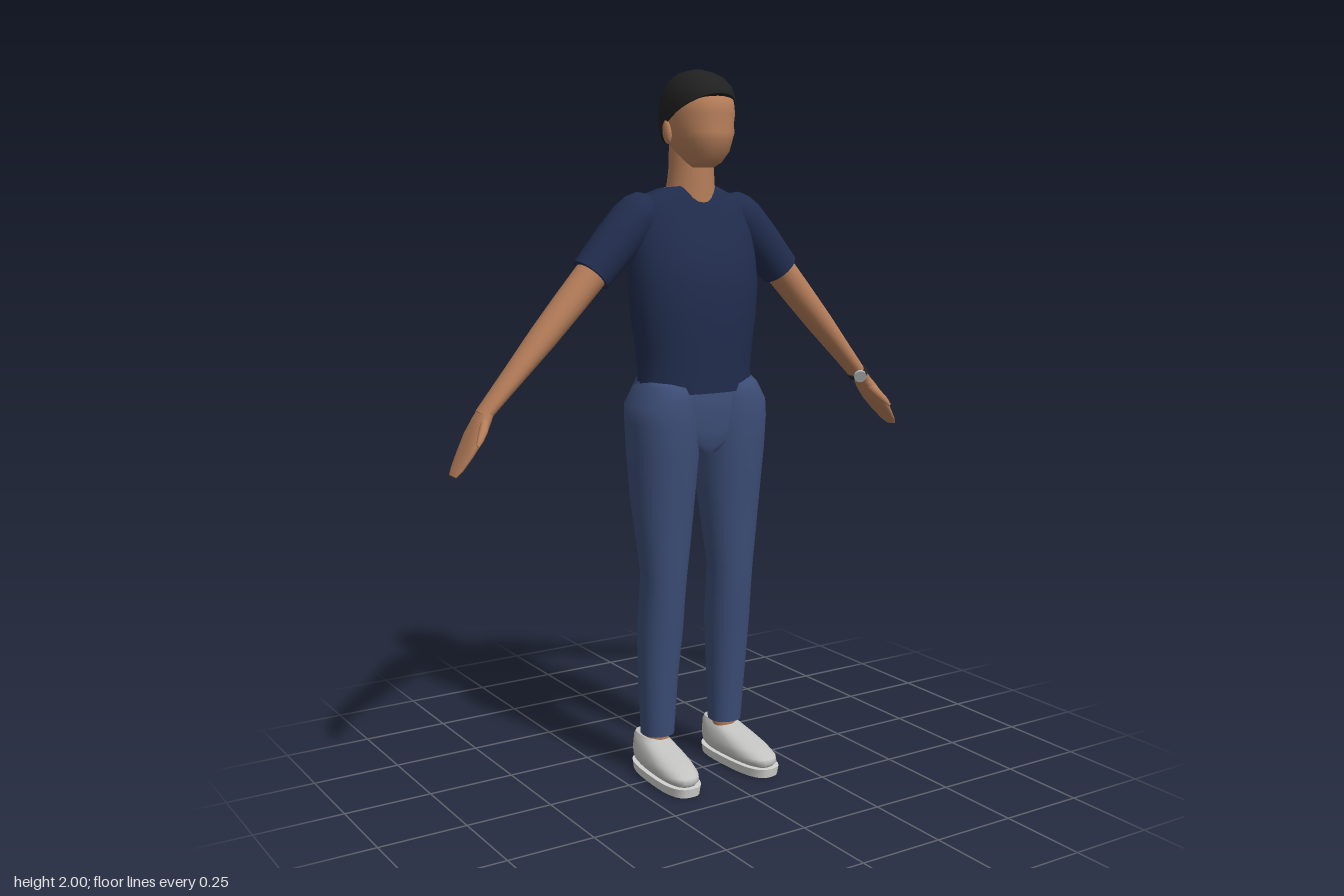
import * as THREE from 'three';

const material = (name, color) => {
  const m = new THREE.MeshStandardMaterial({ color });
  m.name = name;
  return m;
};

// Smooth closed skin over oval rings [y, x0, x1, z0, z1, tiltZ, tiltX], listed upwards.
// n is the roundness of the oval (2 = ellipse), side = -1 mirrors in x.
function loft(rings, { n = 2.2, side = 1, sides = 28 } = {}) {
  const pos = [], index = [];
  const count = rings.length;
  const power = (v) => Math.sign(v) * Math.abs(v) ** (2 / n);
  const addRing = ([y, x0, x1, z0, z1, tiltZ = 0, tiltX = 0]) => {
    for (let j = 0; j < sides; j++) {
      const a = (j / sides) * Math.PI * 2;
      const dx = power(Math.cos(a)) * side * (x1 - x0) / 2;
      const z = (z0 + z1) / 2 + power(Math.sin(a)) * (z1 - z0) / 2;
      pos.push(side * (x0 + x1) / 2 + dx, y + tiltZ * z + tiltX * side * dx, z);
    }
  };
  // the mirrored oval runs the other way round, so its corners swap
  const tri = (a, b, c) => (side > 0 ? index.push(a, b, c) : index.push(a, c, b));
  rings.forEach(addRing);
  for (let i = 0; i < count - 1; i++) {
    for (let j = 0; j < sides; j++) {
      const k = (j + 1) % sides, a = i * sides, b = a + sides;
      tri(a + j, b + j, a + k);
      tri(a + k, b + j, b + k);
    }
  }
  // flat caps with their own corners
  [rings[0], rings[count - 1]].forEach((r, top) => {
    const start = pos.length / 3;
    addRing(r);
    const z = (r[3] + r[4]) / 2;
    pos.push(side * (r[1] + r[2]) / 2, r[0] + (r[5] || 0) * z, z);
    for (let j = 0; j < sides; j++) {
      const p = start + j, q = start + (j + 1) % sides, c = start + sides;
      top ? tri(c, q, p) : tri(c, p, q);
    }
  });
  const g = new THREE.BufferGeometry();
  g.setAttribute('position', new THREE.Float32BufferAttribute(pos, 3));
  g.setIndex(index);
  g.computeVertexNormals();
  return g;
}

// Ring on the centre plane: y, half width, back z, front z
const mid = (y, r, z0, z1, tilt = 0) => [y, -r, r, z0, z1, tilt];
// Ring of a limb: distance along it, half thickness, half width, offsets
const limb = (t, rx, rz, cx = 0, cz = 0) => [t, cx - rx, cx + rx, cz - rz, cz + rz];

export function createModel() {
  const skin = material('skin', 0xb67e5a);
  const hair = material('hair', 0x202020);
  const shirt = material('shirt', 0x212d4e);
  const jeans = material('jeans', 0x3c4d76);
  const shoe = material('shoe', 0xc2c2c0);
  const sole = material('sole', 0xd2d2d0);
  const strap = material('strap', 0x262626);
  const silver = material('silver', 0xb4bab8);

  const model = new THREE.Group();
  model.name = 'standingMan';
  const body = new THREE.Group();
  body.name = 'body';
  body.position.x = -0.01;
  model.add(body);
  const add = (parent, name, geometry, mat) => {
    const mesh = new THREE.Mesh(geometry, mat);
    mesh.name = name;
    parent.add(mesh);
    return mesh;
  };

  // Head, hair and neck
  add(body, 'head', loft([
    mid(1.737, 0.03, -0.01, 0.04), mid(1.75, 0.047, -0.03, 0.068), mid(1.78, 0.068, -0.07, 0.094),
    mid(1.81, 0.08, -0.105, 0.102), mid(1.83, 0.086, -0.115, 0.107), mid(1.855, 0.089, -0.12, 0.1),
    mid(1.88, 0.09, -0.122, 0.106), mid(1.92, 0.088, -0.12, 0.1), mid(1.955, 0.065, -0.095, 0.065),
  ]), skin);
  add(body, 'hair', loft([
    mid(1.872, 0.093, -0.128, 0.106, 0.57), mid(1.9, 0.097, -0.138, 0.104, 0.4),
    mid(1.94, 0.092, -0.132, 0.091, 0.2), mid(1.972, 0.073, -0.108, 0.068, 0.08),
    mid(1.991, 0.045, -0.075, 0.037), mid(2, 0.012, -0.035, 0.0),
  ], { n: 2.1 }), hair);
  add(body, 'neck', loft([
    mid(1.64, 0.075, -0.125, 0.02), mid(1.70, 0.066, -0.114, 0.02),
    mid(1.74, 0.063, -0.108, 0.02), mid(1.82, 0.062, -0.106, 0.02),
  ], { n: 2 }), skin);
  add(body, 'collarSkin', loft([
    mid(1.67, 0.082, -0.136, 0.0, 0.12), mid(1.691, 0.08, -0.134, 0.0, 0.12),
  ], { n: 2 }), skin);

  // Shirt body, open neckline dipping at the front
  add(body, 'shirtBody', loft([
    mid(1.12, 0.178, -0.138, 0.077), mid(1.18, 0.171, -0.14, 0.081), mid(1.25, 0.178, -0.146, 0.086),
    mid(1.33, 0.19, -0.153, 0.09), mid(1.42, 0.197, -0.158, 0.09), mid(1.5, 0.195, -0.16, 0.075),
    mid(1.58, 0.189, -0.158, 0.044), mid(1.63, 0.175, -0.153, 0.025), mid(1.66, 0.147, -0.147, 0.013),
    mid(1.688, 0.09, -0.14, 0.003, 0.1),
  ]), shirt);

  // Seat of the trousers
  add(body, 'trouserSeat', loft([
    mid(0.95, 0.045, -0.11, 0.055), mid(0.975, 0.12, -0.142, 0.066), mid(1.01, 0.17, -0.164, 0.071),
    mid(1.06, 0.19, -0.173, 0.073), mid(1.115, 0.186, -0.165, 0.073), mid(1.165, 0.168, -0.14, 0.06),
  ]), jeans);

  for (const side of [1, -1]) {
    const label = side > 0 ? 'left' : 'right';

    // Ear
    const ear = add(body, label + 'Ear', new THREE.SphereGeometry(1, 14, 10), skin);
    ear.scale.set(0.01, 0.033, 0.018);
    ear.position.set(side * 0.09, 1.832, -0.024);
    ear.rotation.x = -0.2;

    // Trouser leg
    add(body, label + 'TrouserLeg', loft([
      [0.12, 0.069, 0.164, -0.096, 0.0], [0.3, 0.06, 0.174, -0.1, 0.016],
      [0.44, 0.05, 0.179, -0.1, 0.033], [0.52, 0.05, 0.177, -0.09, 0.042],
      [0.6, 0.047, 0.178, -0.08, 0.05], [0.7, 0.035, 0.188, -0.093, 0.058],
      [0.82, 0.022, 0.2, -0.114, 0.068], [0.95, 0.012, 0.209, -0.128, 0.083],
      [1.04, 0.017, 0.213, -0.13, 0.087], [1.1, 0.028, 0.211, -0.13, 0.083, 0, -0.15],
      [1.14, 0.05, 0.18, -0.12, 0.074, 0, -0.0],
      [1.15, 0.07, 0.17, -0.1, 0.05, 0, 0.1],
    ], { side }), jeans);

    // Ankle and shoe
    add(body, label + 'Ankle', loft([limb(0.08, 0.035, 0.037, 0.117, -0.05),
      limb(0.15, 0.035, 0.037, 0.117, -0.05)], { side, n: 2 }), skin);
    const foot = new THREE.Group();
    foot.name = label + 'Shoe';
    foot.position.x = side * 0.126;
    foot.rotation.y = side * 0.06;
    body.add(foot);
    add(foot, 'shoeUpper', loft([
      mid(0.026, 0.045, -0.13, 0.158), mid(0.038, 0.055, -0.138, 0.17), mid(0.052, 0.057, -0.14, 0.164),
      mid(0.068, 0.055, -0.14, 0.125), mid(0.085, 0.049, -0.139, 0.065), mid(0.1, 0.043, -0.137, 0.0),
      mid(0.111, 0.036, -0.133, -0.02),
    ], { n: 2.6 }), shoe);
    add(foot, 'shoeSole', loft([
      mid(0, 0.055, -0.137, 0.17), mid(0.026, 0.059, -0.14, 0.174),
    ], { n: 2.8 }), sole);

    // Arm: local y runs from shoulder to fingertips, local x towards the underside
    const arm = new THREE.Group();
    arm.name = label + 'Arm';
    arm.position.set(side * 0.177, 1.597, -0.06);
    arm.rotation.z = -side * 2.4;
    body.add(arm);
    add(arm, 'sleeve', loft([
      limb(-0.078, 0.018, 0.02), limb(-0.062, 0.042, 0.043), limb(-0.035, 0.056, 0.06),
      limb(0, 0.063, 0.068), limb(0.08, 0.063, 0.067), limb(0.2, 0.058, 0.058),
    ], { side, n: 2 }), shirt);
    add(arm, 'forearm', loft([
      limb(0.15, 0.046, 0.05), limb(0.3, 0.042, 0.048), limb(0.42, 0.037, 0.046),
      limb(0.55, 0.028, 0.04), limb(0.63, 0.023, 0.036), limb(0.685, 0.02, 0.032),
    ], { side, n: 2 }), skin);

    // Hand; the right one bends slightly downwards
    const bend = side > 0 ? 0.011 : 0.038;
    add(arm, 'hand', loft([
      limb(0.665, 0.019, 0.03), limb(0.7, 0.021, 0.04, bend * 0.2), limb(0.745, 0.018, 0.05, bend * 0.45),
      limb(0.79, 0.013, 0.046, bend * 0.7), limb(0.835, 0.009, 0.034, bend * 0.92),
      limb(0.857, 0.005, 0.022, bend),
    ], { side }), skin);
    add(arm, 'thumb', loft([
      limb(0.685, 0.013, 0.014, 0.004, 0.018), limb(0.715, 0.013, 0.015, 0.008, 0.04),
      limb(0.745, 0.01, 0.011, 0.01, 0.058), limb(0.765, 0.005, 0.005, 0.012, 0.068),
    ], { side, n: 2, sides: 14 }), skin);

    // Wristwatch on the left arm
    if (side > 0) {
      add(arm, 'watchStrap', loft([limb(0.632, 0.027, 0.04), limb(0.652, 0.026, 0.039)], { n: 2 }), strap);
      const face = add(arm, 'watchFace', new THREE.CylinderGeometry(0.019, 0.019, 0.01, 20), silver);
      face.position.set(0.016, 0.638, 0.034);
      face.rotation.set(Math.PI / 2, 0, -0.6);
    }
  }
  return model;
}
